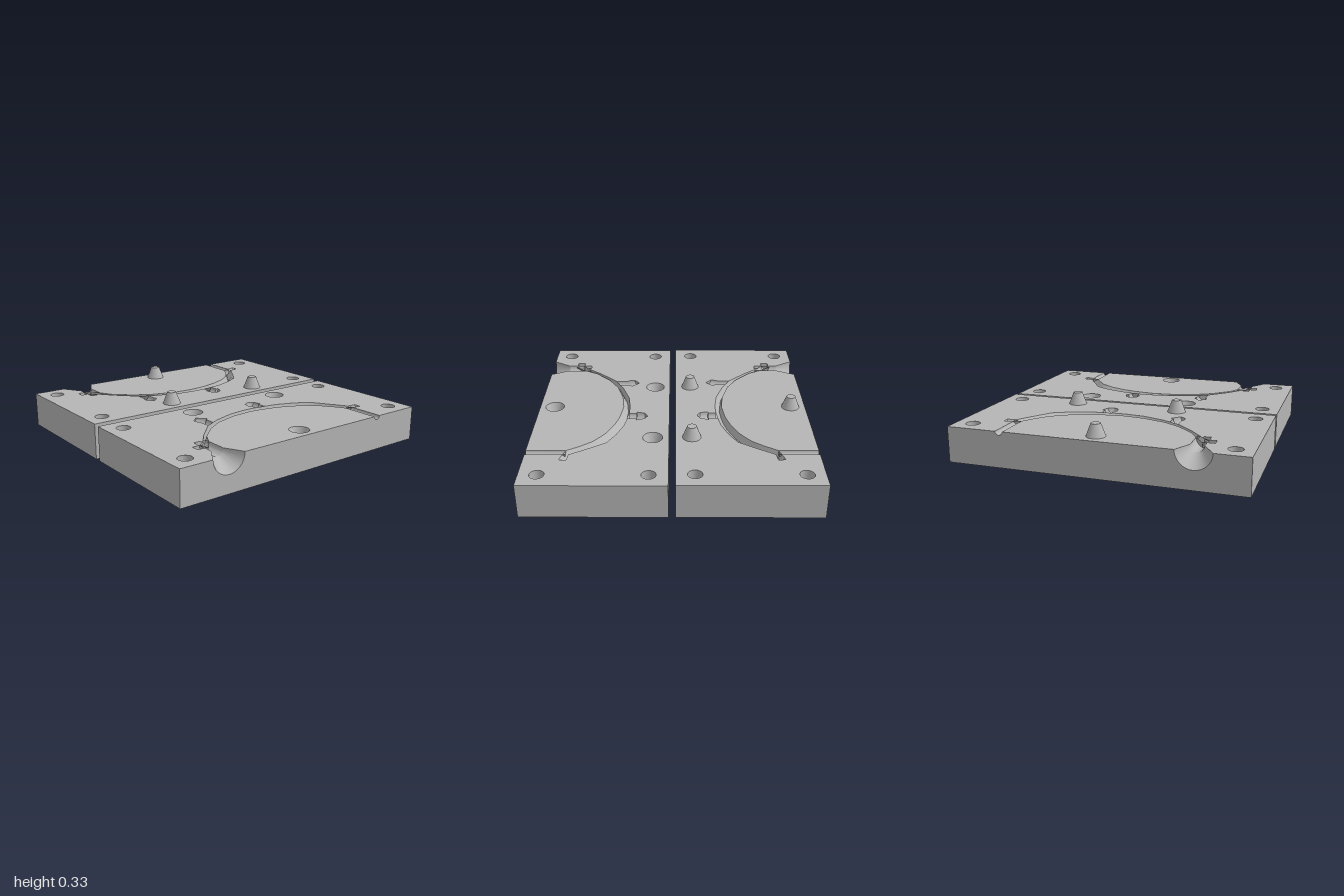
import * as THREE from 'three';
import { toCreasedNormals } from 'three/addons/utils/BufferGeometryUtils.js';

// Two mirrored casting-mould halves. Plan points are [u, z], u = distance from the centre line.
const U0 = 0.022, U1 = 0.967, SHIFT = -0.0025;

// Curved channel: [inner u, inner z, outer u, outer z], rear to front
const arc = [
  [0.735, -0.71, 0.685, -0.715], [0.718, -0.65, 0.68, -0.65], [0.70, -0.60, 0.655, -0.633],
  [0.62, -0.55, 0.60, -0.60], [0.54, -0.49, 0.537, -0.56], [0.50, -0.44, 0.442, -0.497],
  [0.458, -0.38, 0.384, -0.39], [0.405, -0.26, 0.34, -0.27], [0.378, -0.165, 0.322, -0.17],
  [0.367, -0.09, 0.312, -0.1], [0.357, 0, 0.31, 0], [0.372, 0.15, 0.325, 0.14],
  [0.42, 0.31, 0.378, 0.296], [0.455, 0.37, 0.405, 0.35], [0.495, 0.435, 0.44, 0.416],
  [0.605, 0.55, 0.57, 0.545], [0.695, 0.60, 0.685, 0.64], [0.785, 0.665, 0.72, 0.69],
];
// Barbed pockets beside the channel: edge pairs from mouth to tip
const barbs = [
  [[0.322, -0.17, 0.312, -0.1], [0.255, -0.17, 0.255, -0.1], [0.255, -0.19, 0.255, -0.08],
    [0.198, -0.17, 0.198, -0.092], [0.178, -0.135, 0.178, -0.13]],
  [[0.405, 0.35, 0.44, 0.416], [0.325, 0.35, 0.345, 0.416], [0.315, 0.333, 0.347, 0.425],
    [0.258, 0.386, 0.297, 0.43]],
];
const funnel = [[U1, 0.535, U1, 0.77], [0.84, 0.60, 0.84, 0.69], [0.66, 0.60, 0.66, 0.69]];
const vent = [[U1, -0.65, U1, -0.60], [0.70, -0.65, 0.70, -0.60]];
const frontTab = [[0.775, 0.66, 0.72, 0.66], [0.775, 0.74, 0.72, 0.74]];

const boltHoles = [[0.146, -0.88], [0.847, -0.88], [0.146, 0.88], [0.847, 0.88]];
const BOLT_R = 0.048, SOCKET_R = 0.068;
const pins = [[0.133, -0.43], [0.133, 0.32], [0.86, 0]];

// Cross-sections: [fraction across, fraction of depth]
const round = Array.from({ length: 17 }, (_, i) => {
  const a = Math.PI * i / 16;
  return [0.5 - 0.5 * Math.cos(a), Math.sin(a)];
});
const square = [[0, 0], [0, 1], [1, 1], [1, 0]];

// Hollow trough hanging below the top plane between pairs of edge points
function trough(pairs, profile, s, top, depth, cap) {
  const pos = [], idx = [], n = profile.length;
  const rows = pairs.map(p => [p, 1]);
  if (cap) rows.push([pairs[pairs.length - 1], 0]);
  rows.forEach(([[ua, za, ub, zb], k], r) => {
    const d = k * (depth ?? Math.hypot(ub - ua, zb - za) / 2);
    profile.forEach(([t, h], j) => {
      pos.push(s * (ua + (ub - ua) * t) + SHIFT, top - d * h, za + (zb - za) * t);
      if (r && j) {
        const a = (r - 1) * n + j - 1, b = a + 1, c = a + n, e = c + 1;
        if (s > 0) idx.push(a, c, b, b, c, e);
        else idx.push(a, b, c, b, e, c);
      }
    });
  });
  const g = new THREE.BufferGeometry();
  g.setAttribute('position', new THREE.Float32BufferAttribute(pos, 3));
  g.setIndex(idx);
  return toCreasedNormals(g, 0.5);
}

// Flat horizontal face with round holes; dir +1 looks up, -1 looks down
function face(points, holes, s, y, dir) {
  const v = ([u, z]) => new THREE.Vector2(s * u + SHIFT, -dir * z);
  const shape = new THREE.Shape(points.map(v));
  for (const [u, z, r] of holes) {
    const c = v([u, z]);
    shape.holes.push(new THREE.Path().absarc(c.x, c.y, r, 0, Math.PI * 2, true));
  }
  return new THREE.ShapeGeometry(shape, 16).rotateX(-dir * Math.PI / 2).translate(0, y, 0);
}

function mouldHalf(s, top, hasPegs, mat) {
  const half = new THREE.Group();
  half.name = hasPegs ? 'pegHalf' : 'socketHalf';
  const add = (name, geo) => {
    const m = new THREE.Mesh(geo, mat);
    m.name = name;
    half.add(m);
    return m;
  };
  const at = (m, u, y, z) => m.position.set(s * u + SHIFT, y, z);

  // Top face: outer land around the channel, and the island inside it
  const outerEdge = [];
  arc.slice(0, -1).forEach(([, , u, z], i) => {
    outerEdge.push([u, z]);
    const barb = i === 8 ? barbs[0] : i === 13 ? barbs[1] : null;
    if (barb) {
      barb.slice(1).forEach(p => outerEdge.push([p[0], p[1]]));
      barb.slice(1).reverse().forEach(p => outerEdge.push([p[2], p[3]]));
    }
  });
  const land = [[U0, -1], [U1, -1], [U1, -0.65], [0.718, -0.65], [0.735, -0.71], ...outerEdge,
    [0.66, 0.645], [0.66, 0.69], [0.72, 0.69], [0.72, 0.74], [0.775, 0.74], [0.775, 0.69],
    [0.84, 0.69], [U1, 0.77], [U1, 1], [U0, 1]];
  const island = [[U1, -0.60], ...arc.slice(2, -1).map(p => [p[0], p[1]]), [0.84, 0.60], [U1, 0.535]];
  const bolts = boltHoles.map(p => [...p, BOLT_R]);
  const sockets = hasPegs ? [] : pins.map(p => [...p, SOCKET_R]);
  add('topLand', face(land, [...bolts, ...sockets.slice(0, 2)], s, top, 1));
  add('topIsland', face(island, sockets.slice(2), s, top, 1));
  add('underside', face([[U0, -1], [U1, -1], [U1, 1], [U0, 1]], bolts, s, 0, -1));

  // Outer wall, notched by the funnel and the vent
  const wall = [[-1, 0], [1, 0], [1, top]];
  for (const [c, r] of [[0.6525, 0.1175], [-0.625, 0.025]]) {
    round.forEach(([t, h]) => wall.push([c + r - 2 * r * t, top - r * h]));
  }
  wall.push([-1, top]);
  const wallShape = new THREE.Shape(wall.map(([z, y]) => new THREE.Vector2(-s * z, y)));
  at(add('outerWall', new THREE.ShapeGeometry(wallShape).rotateY(s * Math.PI / 2)), U1, 0, 0);

  // Plain walls
  at(add('innerWall', new THREE.PlaneGeometry(2, top).rotateY(-s * Math.PI / 2)), U0, top / 2, 0);
  for (const z of [-1, 1]) {
    const g = new THREE.PlaneGeometry(U1 - U0, top).rotateY(z < 0 ? Math.PI : 0);
    at(add(z < 0 ? 'backWall' : 'frontWall', g), (U0 + U1) / 2, top / 2, z);
  }

  // Cavities
  const vee = [[0, 0], [hasPegs ? 0.3 : 0.7, 1], [1, 0]];
  add('curvedChannel', trough(arc, vee, s, top, 0.045, true));
  barbs.forEach(b => add('barbPocket', trough(b, round, s, top, undefined, true)));
  add('pouringFunnel', trough(funnel, round, s, top, undefined, true));
  add('ventGroove', trough(vent, round, s, top, undefined, true));
  add('frontTabPocket', trough(frontTab, square, s, top, 0.035, true));

  // Bolt holes
  for (const [u, z] of boltHoles) {
    at(add('boltHole', new THREE.CylinderGeometry(BOLT_R, BOLT_R, top, 32, 1, true)), u, top / 2, z);
  }

  // Locating pegs on one half, matching conical sockets in the other
  for (const [u, z] of pins) {
    if (hasPegs) {
      at(add('peg', new THREE.CylinderGeometry(0.032, 0.064, 0.085, 32)), u, top + 0.0425, z);
    } else {
      at(add('socketWall', new THREE.CylinderGeometry(SOCKET_R, 0.034, 0.09, 32, 1, true)), u, top - 0.045, z);
      at(add('socketFloor', new THREE.CircleGeometry(0.034, 32).rotateX(-Math.PI / 2)), u, top - 0.09, z);
    }
  }
  return half;
}

export function createModel() {
  const mat = new THREE.MeshStandardMaterial({ color: 0xb5b5b5, side: THREE.DoubleSide });
  mat.name = 'mould grey';
  const model = new THREE.Group();
  model.name = 'castingMould';
  model.add(mouldHalf(-1, 0.245, true, mat), mouldHalf(1, 0.24, false, mat));
  return model;
}
